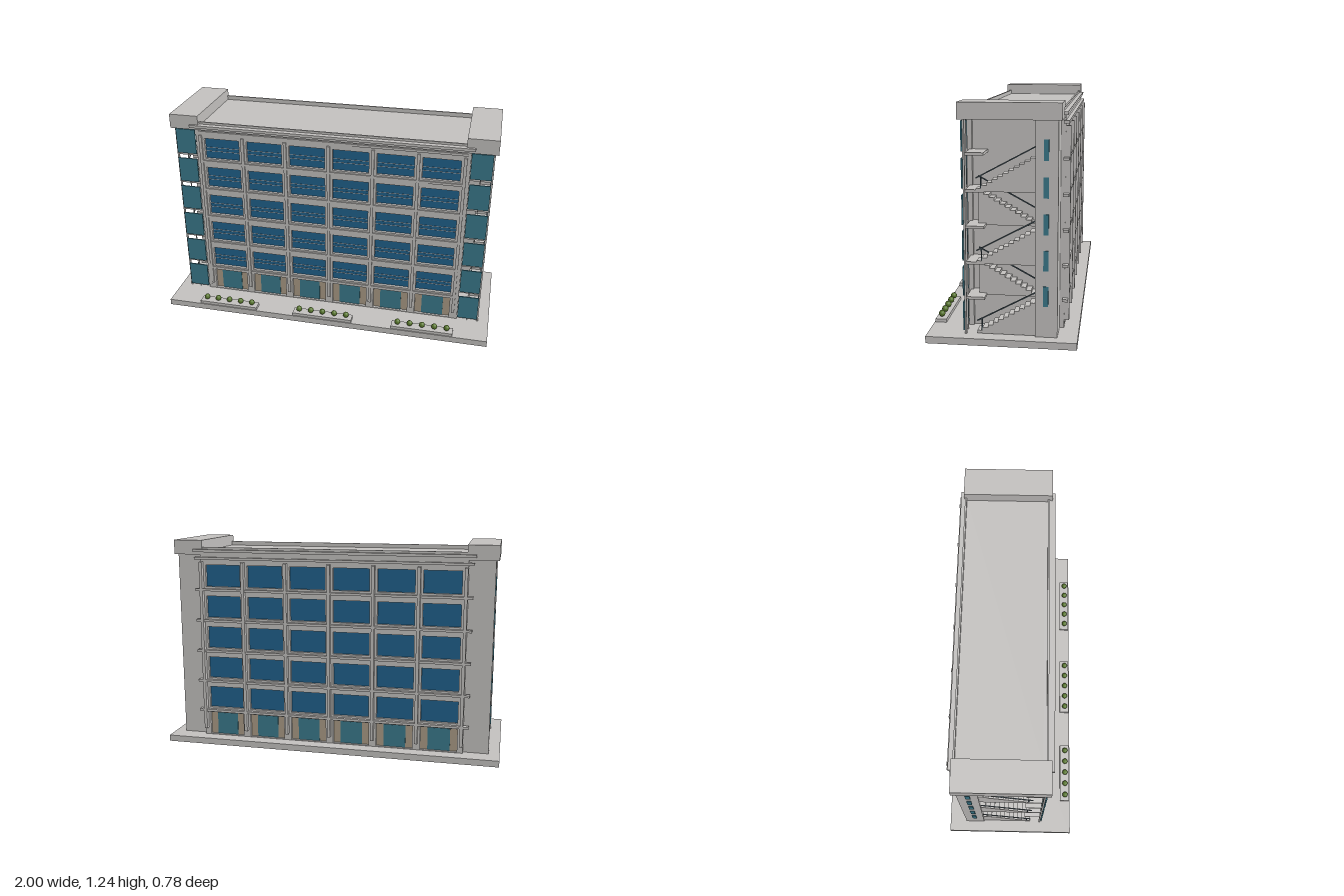
import * as THREE from 'three';

const mat = (name, color) => Object.assign(new THREE.MeshStandardMaterial({ color }), { name });
const concrete = mat('concrete', 0xc2c0be);
const blueGlass = mat('blueGlass', 0x20608a);
const tealGlass = mat('tealGlass', 0x3a788a);
const tan = mat('tanPanel', 0xa99a85);
const rail = mat('railMetal', 0x46565f);
const leaf = mat('leaf', 0x56752a);

const BASE = 0.037, FLOOR = 0.187, PITCH = 0.26, HALF = 0.79, TOP = 1.15;

// Box given by its min and max on each axis
function box(parent, name, material, x0, x1, y0, y1, z0, z1) {
  const m = new THREE.Mesh(new THREE.BoxGeometry(Math.abs(x1 - x0), y1 - y0, Math.abs(z1 - z0)), material);
  m.name = name;
  m.position.set((x0 + x1) / 2, (y0 + y1) / 2, (z0 + z1) / 2);
  parent.add(m);
  return m;
}

function rect(path, x0, x1, y0, y1) {
  path.moveTo(x0, y0);
  path.lineTo(x1, y0);
  path.lineTo(x1, y1);
  path.lineTo(x0, y1);
  path.closePath();
  return path;
}

// Window wall with its outer face on local z = 0, looking along +z
function facade(name, columnOut, ledgeOut, ledgeHalf, bars) {
  const g = new THREE.Group();
  g.name = name;
  const depth = 0.022, w = 0.107;
  const wall = rect(new THREE.Shape(), -HALF, HALF, BASE, TOP);
  for (let c = 0; c < 6; c++) {
    const x = (c - 2.5) * PITCH;
    // Ground floor entrance bay
    wall.holes.push(rect(new THREE.Path(), x - w, x + w, BASE + 0.004, 0.18));
    box(g, 'entrancePanel', tan, x - w, x + w, BASE, 0.18, -depth, -depth + 0.005);
    box(g, 'entranceGlass', tealGlass, x - 0.065, x + 0.065, BASE, 0.175, -depth, -depth + 0.009);
    // Upper windows
    for (let f = 0; f < 5; f++) {
      const y = 0.213 + f * FLOOR;
      wall.holes.push(rect(new THREE.Path(), x - w, x + w, y, y + 0.13));
      box(g, 'window', blueGlass, x - w, x + w, y, y + 0.13, -depth, -depth + 0.005);
      if (bars) for (const t of [0.045, 0.068])
        box(g, 'windowBar', concrete, x - w, x + w, y + t, y + t + 0.002, -depth, -depth + 0.008);
    }
  }
  const geo = new THREE.ExtrudeGeometry(wall, { depth, bevelEnabled: false });
  geo.translate(0, 0, -depth);
  const frame = new THREE.Mesh(geo, concrete);
  frame.name = 'facadeFrame';
  g.add(frame);
  // Slender columns and floor ledges
  for (let c = 0; c < 7; c++) {
    const x = (c - 3) * PITCH;
    box(g, 'column', concrete, x - 0.009, x + 0.009, 0.08, 1.11, 0, columnOut);
  }
  for (let f = 0; f < 6; f++) {
    const y = 0.188 + f * FLOOR;
    box(g, 'floorLedge', concrete, -ledgeHalf, ledgeHalf, y, y + 0.014, -0.01, ledgeOut);
  }
  return g;
}

// Solid stepped flight, profile in the z-y plane
function flight(zStart, zEnd, y0, rise, width) {
  const n = 11, run = (zEnd - zStart) / n, s = new THREE.Shape();
  s.moveTo(zStart, y0);
  for (let i = 0; i < n; i++) {
    const y = y0 + (rise * (i + 1)) / n;
    s.lineTo(zStart + run * i, y);
    s.lineTo(zStart + run * (i + 1), y);
  }
  s.lineTo(zEnd, y0);
  const geo = new THREE.ExtrudeGeometry(s, { depth: width, bevelEnabled: false });
  geo.rotateY(-Math.PI / 2);
  geo.translate(width / 2, 0, 0);
  const m = new THREE.Mesh(geo, concrete);
  m.name = 'stairFlight';
  return m;
}

// Open stair tower; s = 1 or -1 picks the end of the building
function tower(s) {
  const g = new THREE.Group();
  g.name = s > 0 ? 'leftStairTower' : 'rightStairTower';
  const part = (name, m, x0, x1, ...r) => box(g, name, m, s * x0, s * x1, ...r);
  part('rearWall', concrete, 0.78, 0.937, BASE, TOP, -0.285, -0.17);
  part('towerCap', concrete, 0.78, 0.955, TOP, 1.235, -0.303, 0.217);
  part('outerPost', concrete, 0.927, 0.937, BASE, TOP, 0.184, 0.194);
  part('innerPost', concrete, 0.79, 0.808, BASE, TOP, 0.17, 0.196);
  part('middlePost', concrete, 0.867, 0.871, BASE, TOP, 0.188, 0.196);
  for (let k = 0; k < 6; k++) {
    const y = 0.04 + k * FLOOR;
    // Front glass, broken at each landing
    part('towerGlass', tealGlass, 0.81, 0.93, y + 0.014, Math.min(y + FLOOR - 0.02, 1.145), 0.197, 0.204);
    if (k > 0) part('landing', concrete, 0.79, 0.93, y - 0.005, y + 0.009, 0.09, 0.184);
    if (k === 5) break;
    part('sideWindow', tealGlass, 0.935, 0.942, y + 0.162, y + 0.268, -0.238, -0.212);
    // Flights alternate between the outer and inner lane
    const up = k % 2 === 0, x = up ? 0.895 : 0.825;
    const f = flight(up ? 0.13 : -0.17, up ? -0.17 : 0.13, y, 0.175, 0.07);
    f.position.x = s * x;
    g.add(f);
    // Sloping handrail
    const zA = up ? 0.13 : -0.17, yA = y + (up ? 0.068 : 0.093), dz = up ? -0.3 : 0.3, dy = 0.162;
    const h = new THREE.Mesh(new THREE.BoxGeometry(0.006, 0.006, Math.hypot(dz, dy)), rail);
    h.name = 'handrail';
    h.position.set(s * (up ? 0.926 : 0.856), yA + dy / 2, zA + dz / 2);
    h.rotation.x = -Math.atan2(dy, dz > 0 ? 0.3 : -0.3);
    g.add(h);
    if (up) part('railPost', rail, 0.923, 0.929, y + 0.01, y + 0.08, 0.102, 0.108);
  }
  return g;
}

// Planter with five clipped bushes
function planter(x) {
  const g = new THREE.Group();
  g.name = 'planter';
  box(g, 'planterBox', concrete, x - 0.185, x + 0.185, BASE, 0.055, 0.325, 0.385);
  const geo = new THREE.IcosahedronGeometry(0.018, 1);
  for (let i = -2; i <= 2; i++) {
    const b = new THREE.Mesh(geo, leaf);
    b.name = 'bush';
    b.position.set(x + i * 0.074, 0.074, 0.357);
    g.add(b);
  }
  return g;
}

export function createModel() {
  const model = new THREE.Group();
  model.name = 'officeBuilding';
  box(model, 'groundSlab', concrete, -1, 1, 0, BASE, -0.39, 0.39);
  box(model, 'buildingCore', concrete, -HALF, HALF, BASE, 1.17, -0.288, 0.173);

  const front = facade('frontFacade', 0.009, 0.007, HALF, true);
  front.position.z = 0.195;
  const back = facade('backFacade', 0.026, 0.02, 0.82, false);
  back.position.z = -0.31;
  back.rotation.y = Math.PI;
  model.add(front, back);

  // Parapet and two-step cornice on both long sides
  for (const [name, inner, outer, cornice] of [['front', 0.19, 0.2, 0.233], ['back', -0.288, -0.298, -0.322]]) {
    box(model, name + 'Parapet', concrete, -HALF, HALF, TOP, 1.195, inner, outer);
    box(model, name + 'RoofEdge', concrete, -HALF, HALF, 1.145, 1.17, inner * 0.9, outer);
    box(model, name + 'Cornice', concrete, -0.83, 0.83, 1.166, 1.182, outer, cornice);
    box(model, name + 'LowerCornice', concrete, -0.8, 0.8, 1.15, 1.166, outer, (outer + cornice) / 2);
  }
  for (const s of [1, -1]) model.add(tower(s));
  for (const x of [-0.61, -0.005, 0.61]) model.add(planter(x));
  return model;
}
